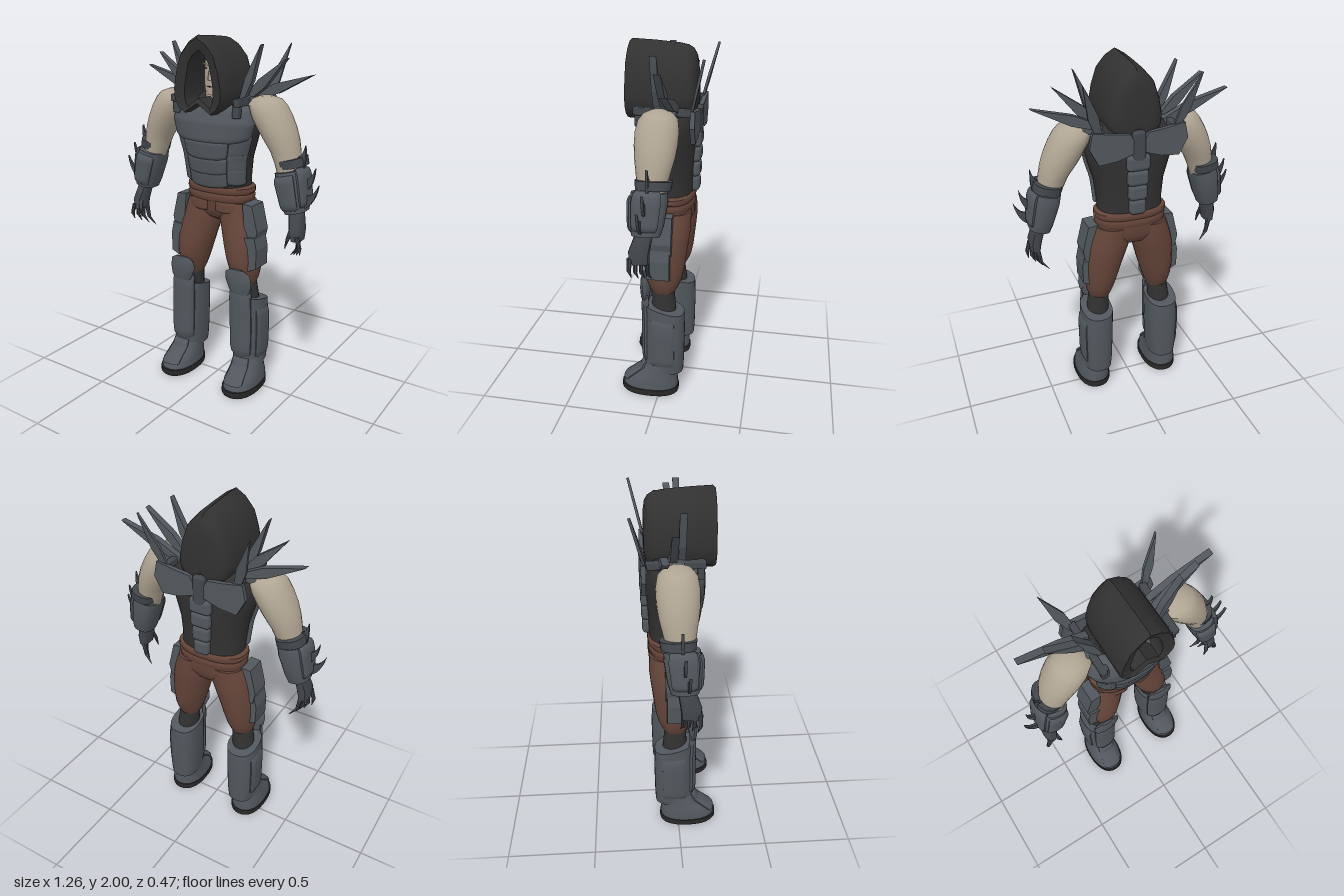
import * as THREE from 'three';
import { toCreasedNormals } from 'three/addons/utils/BufferGeometryUtils.js';
import { RoundedBoxGeometry } from 'three/addons/geometries/RoundedBoxGeometry.js';

const mat = (name, color, side = THREE.FrontSide) => {
  const m = new THREE.MeshStandardMaterial({ color, side });
  m.name = name;
  return m;
};

// Joins rings of points into a surface; closed rings are capped at both ends.
function skin(rings, closed = true) {
  const n = rings[0].length, pos = rings.flat(2), idx = [];
  const last = (rings.length - 1) * n;
  for (let i = 0; i < rings.length - 1; i++)
    for (let j = 0; j < (closed ? n : n - 1); j++) {
      const a = i * n + j, b = i * n + (j + 1) % n;
      idx.push(a, b, b + n, a, b + n, a + n);
    }
  if (closed) {
    const mean = r => [0, 1, 2].map(k => r.reduce((s, p) => s + p[k], 0) / n);
    const c = pos.length / 3;
    pos.push(...mean(rings[0]), ...mean(rings[rings.length - 1]));
    for (let j = 0; j < n; j++) {
      const k = (j + 1) % n;
      idx.push(c, k, j, c + 1, last + j, last + k);
    }
  }
  const g = new THREE.BufferGeometry();
  g.setAttribute('position', new THREE.Float32BufferAttribute(pos, 3));
  g.setIndex(idx);
  return toCreasedNormals(g, 0.75);
}

// Cross-section: [y, centreX, centreZ, radiusX, radiusZ, squareness, tilt]
function onSection([y, cx, cz, rx, rz, p = 2, tilt = 0], a, off = 0) {
  const f = v => Math.sign(v) * Math.abs(v) ** (2 / p);
  const z = (rz + off) * f(Math.cos(a));
  return [cx + (rx + off) * f(Math.sin(a)), y + tilt * z, cz + z];
}
const loft = (secs, n = 20) => skin(secs.map(s =>
  Array.from({ length: n }, (_, j) => onSection(s, j / n * Math.PI * 2))));

function sectionAt(secs, y) {
  let i = 0;
  while (i < secs.length - 2 && secs[i + 1][0] < y) i++;
  const A = secs[i], B = secs[i + 1];
  const t = THREE.MathUtils.clamp((y - A[0]) / (B[0] - A[0]), 0, 1);
  const s = A.map((v, k) => v + (B[k] - v) * t);
  s[0] = y;
  return s;
}

// Raised plate lying on a loft, between two angles (degrees from the front) and two heights;
// sag lowers the middle of its bottom edge
function plate(secs, a0, a1, y0, y1, off, sag = 0, n = 14) {
  const edge = t => 1 - Math.abs(2 * t - 1) ** 10;
  const rings = [];
  for (let i = 0; i <= n; i++) {
    const v = i / n;
    rings.push(Array.from({ length: n + 1 }, (_, j) => {
      const u = j / n, y = y0 + (y1 - y0) * v - sag * (1 - v) * Math.sin(u * Math.PI);
      return onSection(sectionAt(secs, y), (a0 + (a1 - a0) * u) * Math.PI / 180, (off + 0.008) * edge(v) * edge(u) - 0.008);
    }));
  }
  return skin(rings, false);
}

const box = (w, h, d, x, y, z, rz = 0, r = 0.006) =>
  new RoundedBoxGeometry(w, h, d, 2, r).rotateZ(rz).translate(x, y, z);
const extrude = (shape, depth, z) =>
  new THREE.ExtrudeGeometry(shape, { depth, bevelEnabled: false, curveSegments: 6 }).translate(0, 0, z - depth / 2);
const polygon = pts => new THREE.Shape(pts.map(p => new THREE.Vector2(...p)));

// Long leaf-shaped blade from a base point to a tip
function blade(base, tip, w, depth) {
  const d = new THREE.Vector3(...tip).sub(new THREE.Vector3(...base)), L = d.length();
  const s = polygon([[-w * 0.25, 0], [w * 0.25, 0], [w * 0.5, L * 0.42], [0, L], [-w * 0.5, L * 0.42]]);
  const q = new THREE.Quaternion().setFromUnitVectors(new THREE.Vector3(0, 1, 0), d.normalize());
  return extrude(s, depth, 0).applyQuaternion(q).translate(...base);
}

// Curved thorn between two base points and a tip
function thorn(a, b, c, tip, z) {
  const s = new THREE.Shape();
  s.moveTo(...b);
  s.quadraticCurveTo(c[0] + 0.012, c[1] - 0.006, ...tip);
  s.quadraticCurveTo(c[0] - 0.012, c[1] + 0.012, ...a);
  return extrude(s, 0.014, z);
}

function mirrored(geo) {
  const g = (geo.index ? geo.toNonIndexed() : geo.clone()).scale(-1, 1, 1);
  g.setIndex(Array.from({ length: g.attributes.position.count / 3 }, (_, i) => [3 * i, 3 * i + 2, 3 * i + 1]).flat());
  return g;
}

export function createModel() {
  const model = new THREE.Group();
  const steel = mat('steel', 0x51575d, THREE.DoubleSide), darkSteel = mat('dark steel', 0x43484d);
  const skinTone = mat('skin', 0xb0a593), leather = mat('brown leather', 0x65453a, THREE.DoubleSide);
  const cloth = mat('dark cloth', 0x313132, THREE.DoubleSide), rubber = mat('sole black', 0x2a2a2a);
  const add = (name, geo, m) => {
    const mesh = new THREE.Mesh(geo, m);
    mesh.name = name;
    model.add(mesh);
  };
  const pair = (name, geo, m) => {
    add('left ' + name, geo, m);
    add('right ' + name, mirrored(geo), m);
  };

  // Torso with chest, belly and rib plates
  const torso = [[1.15, 0, -0.035, 0.18, 0.115, 2.4], [1.25, 0, -0.025, 0.183, 0.125, 2.4],
    [1.35, 0, -0.02, 0.193, 0.135, 2.4], [1.45, 0, -0.018, 0.222, 0.145, 2.4],
    [1.55, 0, -0.02, 0.25, 0.145, 2.4], [1.62, 0, -0.03, 0.235, 0.13, 2.4],
    [1.67, 0, -0.04, 0.19, 0.1, 2.3], [1.7, 0, -0.04, 0.09, 0.06, 2]];
  add('torso', loft(torso, 32), cloth);
  add('chest plate', plate(torso, -80, 80, 1.46, 1.655, 0.03, 0.035, 24), steel);
  [[1.36, 1.46], [1.275, 1.365], [1.2, 1.285]].forEach(([y0, y1], i) => {
    add('belly plate ' + i, plate(torso, -38, 38, y0, y1, 0.03 - i * 0.003, 0.02), steel);
    pair('rib plate ' + i, plate(torso, 30, 80, y0 + 0.01, y1 + 0.03, 0.02, 0.01), steel);
  });

  // Back plates and spine segments
  pair('back plate', extrude(polygon([[0.02, 1.6], [0.05, 1.655], [0.14, 1.665], [0.25, 1.685], [0.268, 1.6],
    [0.22, 1.51], [0.12, 1.52], [0.03, 1.55]]), 0.025, -0.174), steel);
  add('spine connector', box(0.07, 0.17, 0.05, 0, 1.58, -0.168, 0, 0.015), darkSteel);
  for (let i = 0; i < 4; i++)
    add('spine segment ' + i, box(0.13 - i * 0.012, 0.09, 0.06, 0, 1.49 - i * 0.085, -0.163 + i * 0.003, 0, 0.024), steel);

  // Shoulder straps and blades
  pair('shoulder strap', box(0.035, 0.04, 0.31, 0.2, 1.665, -0.015), darkSteel);
  pair('strap buckle', box(0.04, 0.1, 0.035, 0.19, 1.635, 0.115), darkSteel);
  pair('shoulder cap', box(0.1, 0.035, 0.12, 0.22, 1.665, -0.03, -0.15), steel);
  [[[0.17, 1.67, -0.078], [0.53, 1.81, -0.078], 0.055], [[0.16, 1.66, -0.025], [0.405, 1.89, -0.025], 0.055],
    [[0.16, 1.65, 0.02], [0.28, 1.955, 0.02], 0.045], [[0.2, 1.63, -0.155], [0.31, 1.95, -0.235], 0.055]]
    .forEach(([b, t, w], i) => pair('shoulder blade spike ' + i, blade(b, t, w, i === 3 ? 0.014 : 0.036), steel));

  // Head and face, set deep in the hood
  add('head', loft([[1.6, 0, -0.03, 0.055, 0.06], [1.645, 0, -0.005, 0.05, 0.075], [1.68, 0, -0.01, 0.068, 0.085],
    [1.74, 0, -0.015, 0.079, 0.09], [1.82, 0, -0.02, 0.083, 0.095], [1.89, 0, -0.025, 0.077, 0.09],
    [1.94, 0, -0.035, 0.04, 0.05]], 24), skinTone);
  add('nose', loft([[1.765, 0, 0.071, 0.017, 0.024], [1.785, 0, 0.071, 0.014, 0.022],
    [1.845, 0, 0.066, 0.009, 0.01]], 8), skinTone);
  add('mouth', box(0.042, 0.006, 0.006, 0, 1.73, 0.074, 0, 0.002), cloth);
  add('chin', box(0.04, 0.03, 0.02, 0, 1.675, 0.068, 0, 0.009), skinTone);
  pair('eye', box(0.026, 0.007, 0.008, 0.033, 1.825, 0.066, 0.12, 0.002), cloth);
  pair('brow', box(0.044, 0.009, 0.012, 0.033, 1.843, 0.064, 0.25, 0.004), skinTone);

  // Hood: an arched outline swept from the lining, round the rim, to the back
  const outerHalf = [[0, 2], [0.055, 1.968], [0.105, 1.91], [0.135, 1.82], [0.152, 1.73], [0.148, 1.67], [0.12, 1.625], [0.085, 1.6], [0, 1.655]];
  const innerHalf = [[0, 1.925], [0.035, 1.9], [0.062, 1.86], [0.077, 1.8], [0.088, 1.74], [0.09, 1.69], [0.083, 1.655], [0.07, 1.635], [0, 1.682]];
  const ring = (half, z, sx = 1, sy = 1) =>
    [...half, ...half.slice(1, -1).reverse().map(([x, y]) => [-x, y])].map(([x, y]) => [x * sx, 1.7 + (y - 1.7) * sy, z]);
  add('hood', skin([ring(innerHalf, -0.02, 1.1, 1.05), ring(innerHalf, 0.185), ring(outerHalf, 0.2, 0.96, 0.95),
    ring(outerHalf, 0.185), ring(outerHalf, 0.06, 1, 0.98), ring(outerHalf, -0.07, 1, 0.945),
    ring(outerHalf, -0.115, 0.96, 0.915), ring(outerHalf, -0.142, 0.88, 0.86), ring(outerHalf, -0.157, 0.76, 0.77),
    ring(outerHalf, -0.165, 0.58, 0.6), ring(outerHalf, -0.168, 0.3, 0.3)]), cloth);

  // Arms
  pair('arm', loft([[1.22, 0.485, 0, 0.052, 0.055], [1.3, 0.45, 0, 0.066, 0.068], [1.36, 0.433, -0.005, 0.07, 0.076],
    [1.42, 0.416, -0.008, 0.08, 0.088], [1.48, 0.388, -0.01, 0.096, 0.101], [1.54, 0.358, -0.01, 0.106, 0.109],
    [1.6, 0.327, -0.01, 0.109, 0.11], [1.65, 0.303, -0.01, 0.103, 0.1], [1.68, 0.3, -0.01, 0.08, 0.075],
    [1.697, 0.295, -0.01, 0.035, 0.035]], 24), skinTone);

  // Gauntlets, built upright and tilted along the forearm, with elbow bands and thorns
  const cuff = [[-0.12, 0, 0.01, 0.058, 0.072, 2.6], [-0.07, 0, 0.008, 0.066, 0.085, 2.6],
    [0.05, 0, 0.002, 0.077, 0.096, 2.6], [0.1, 0, 0, 0.075, 0.09, 2.6]];
  const onForearm = geo => geo.rotateZ(0.23).translate(0.478, 1.23, 0.003);
  pair('gauntlet', onForearm(loft(cuff)), steel);
  pair('gauntlet front plate', onForearm(plate(cuff, -50, 40, -0.11, 0.09, 0.012)), steel);
  pair('gauntlet outer plate', onForearm(plate(cuff, 45, 135, -0.1, 0.11, 0.016)), steel);
  pair('elbow band', onForearm(loft([[0.112, 0.008, -0.02, 0.075, 0.088, 2.5], [0.158, 0.008, -0.02, 0.075, 0.094, 2.5]])), darkSteel);
  [[[0.49, 1.4], [0.53, 1.34], [0.53, 1.39], [0.535, 1.465], 0], [[0.525, 1.29], [0.545, 1.22], [0.588, 1.27], [0.6, 1.355], 0.01],
    [[0.545, 1.22], [0.555, 1.14], [0.605, 1.18], [0.632, 1.275], 0.03]]
    .forEach((h, i) => pair('gauntlet thorn ' + i, thorn(...h), darkSteel));

  // Hands with clawed fingers
  pair('palm', loft([[0.97, 0.53, 0.045, 0.026, 0.05, 3], [1.03, 0.527, 0.045, 0.036, 0.055, 3],
    [1.13, 0.505, 0.02, 0.038, 0.045, 2.5]], 12), darkSteel);
  for (let i = 0; i < 4; i++) {
    const z = 0.09 - i * 0.028, x = 0.545 - i * 0.006, tx = 0.562 - i * 0.032;
    pair('finger ' + i, loft([[0.9 - i * 0.015, tx, z - 0.012, 0.002, 0.002], [0.94 - i * 0.013, (x + tx) / 2 + 0.012, z, 0.011, 0.011],
      [1.0, x, z, 0.015, 0.014]], 8), darkSteel);
  }
  pair('thumb', loft([[0.93, 0.485, 0.1, 0.003, 0.003], [0.98, 0.497, 0.095, 0.011, 0.011], [1.05, 0.512, 0.07, 0.015, 0.015]], 8), darkSteel);

  // Trousers, belt and front flaps
  const pelvis = [[0.975, 0, -0.045, 0.03, 0.04, 2.2], [1.0, 0, -0.045, 0.11, 0.085, 2.2], [1.05, 0, -0.042, 0.2, 0.112, 2.4], [1.13, 0, -0.04, 0.195, 0.112, 2.4]];
  add('trouser seat', loft(pelvis, 28), leather);
  pair('trouser leg', loft([[0.63, 0.18, -0.012, 0.058, 0.06], [0.66, 0.18, -0.012, 0.072, 0.078], [0.71, 0.176, -0.012, 0.085, 0.1],
    [0.78, 0.168, -0.013, 0.099, 0.114], [0.86, 0.155, -0.02, 0.11, 0.117], [0.94, 0.138, -0.032, 0.117, 0.115],
    [1.0, 0.122, -0.04, 0.117, 0.114], [1.1, 0.105, -0.045, 0.1, 0.108]], 24), leather);
  add('belt', loft([[1.1, 0, -0.035, 0.19, 0.113, 2.4], [1.112, 0, -0.035, 0.2, 0.122, 2.4],
    [1.14, 0, -0.035, 0.202, 0.122, 2.4], [1.15, 0, -0.035, 0.198, 0.118, 2.4], [1.16, 0, -0.035, 0.206, 0.124, 2.4],
    [1.185, 0, -0.035, 0.204, 0.123, 2.4], [1.195, 0, -0.035, 0.19, 0.115, 2.4]], 32), leather);
  pair('front flap', plate(pelvis, 4, 45, 1.045, 1.11, 0.014, 0.012), leather);

  // Thigh guards
  pair('upper thigh guard', extrude(polygon([[0.19, 1.11], [0.25, 1.105], [0.285, 0.96], [0.27, 0.89], [0.21, 0.89]]), 0.12, -0.01), steel);
  pair('lower thigh guard', extrude(polygon([[0.21, 0.92], [0.275, 0.93], [0.29, 0.86], [0.288, 0.75], [0.23, 0.725]]), 0.125, 0), steel);

  // Lower legs: calf, knee guard, shin shell and shin plate
  pair('calf', loft([[0.45, 0.2, -0.015, 0.07, 0.08], [0.58, 0.19, -0.015, 0.062, 0.066], [0.68, 0.18, -0.01, 0.058, 0.06]]), cloth);
  pair('knee guard', loft([[0.56, 0.2, 0.085, 0.04, 0.012], [0.62, 0.2, 0.088, 0.07, 0.024],
    [0.67, 0.193, 0.088, 0.084, 0.028], [0.715, 0.19, 0.093, 0.08, 0.02], [0.74, 0.19, 0.1, 0.04, 0.008]], 16), steel);
  const shin = [[0.14, 0.21, -0.02, 0.08, 0.112, 2.5, 0], [0.2, 0.21, -0.022, 0.087, 0.113, 2.5, 0],
    [0.4, 0.208, -0.025, 0.092, 0.113, 2.5, 0], [0.545, 0.203, -0.022, 0.09, 0.112, 2.5, 0.25]];
  pair('shin shell', loft(shin, 28), steel);
  pair('shin plate', plate(shin, -52, 42, 0.2, 0.61, 0.018, 0.01), steel);
  pair('calf side plate', plate(shin, 55, 125, 0.18, 0.5, 0.008), steel);

  // Boots
  const boot = [[0.03, 0.222, 0.058, 0.098, 0.162, 2.3], [0.075, 0.222, 0.053, 0.096, 0.155, 2.3],
    [0.11, 0.22, 0.033, 0.09, 0.13, 2.2], [0.15, 0.215, 0.01, 0.085, 0.1, 2.2], [0.22, 0.212, -0.01, 0.08, 0.09, 2.2]];
  pair('boot', loft(boot, 28), steel);
  pair('boot tongue plate', plate(boot, -38, 38, 0.065, 0.2, 0.014), steel);
  pair('sole', loft([[0, 0.222, 0.058, 0.098, 0.164, 2.3], [0.012, 0.222, 0.06, 0.103, 0.169, 2.3],
    [0.04, 0.222, 0.06, 0.102, 0.168, 2.3]], 28), rubber);
  return model;
}
